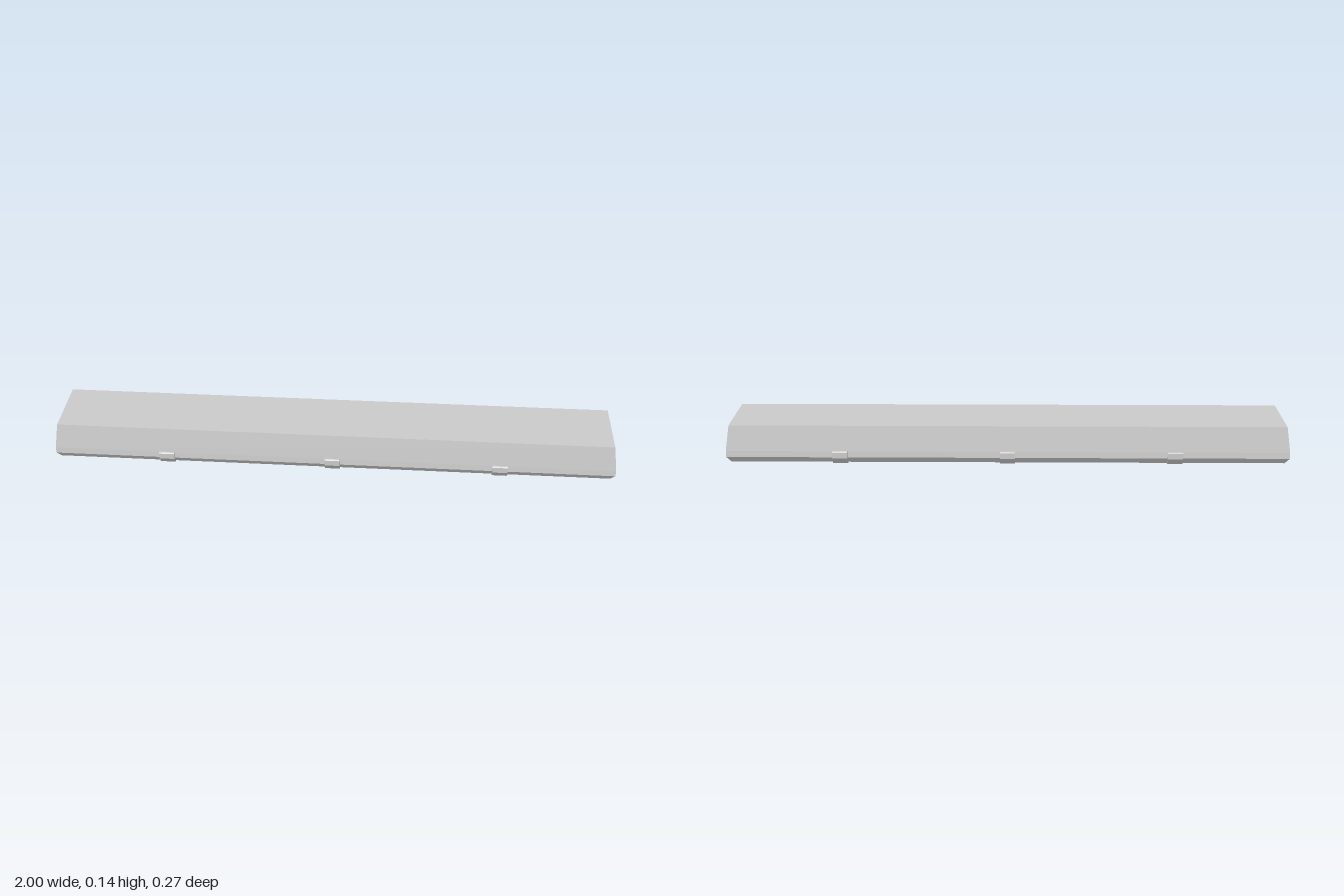
import * as THREE from 'three';

const material = new THREE.MeshStandardMaterial({ color: 0xcccccc, flatShading: true });

// Lofts rectangular sections [halfX, y, halfZ] from bottom to top, with optional caps
function loft(sections, capBottom, capTop) {
  const corners = sections.map(([x, y, z]) => [[-x, y, z], [x, y, z], [x, y, -z], [-x, y, -z]]);
  const positions = [];
  const quad = (a, b, c, d) => positions.push(...a, ...b, ...c, ...a, ...c, ...d);
  for (let i = 0; i < corners.length - 1; i++) {
    const lower = corners[i], upper = corners[i + 1];
    for (let k = 0; k < 4; k++) {
      const n = (k + 1) % 4;
      quad(lower[k], lower[n], upper[n], upper[k]);
    }
  }
  if (capTop) quad(...corners[corners.length - 1]);
  if (capBottom) quad(...[...corners[0]].reverse());
  const geometry = new THREE.BufferGeometry();
  geometry.setAttribute('position', new THREE.Float32BufferAttribute(positions, 3));
  geometry.computeVertexNormals();
  return geometry;
}

function addMesh(parent, name, geometry) {
  const mesh = new THREE.Mesh(geometry, material);
  mesh.name = name;
  parent.add(mesh);
  return mesh;
}

// Bent clip: a (z, y) outline extruded along x
function clipGeometry(width) {
  const outline = [
    [0.113, 0.003], [0.119, 0], [0.136, 0.025], [0.136, 0.046], [0.132, 0.049], [0.127, 0.049], [0.128, 0.026],
  ];
  const shape = new THREE.Shape(outline.map(([z, y]) => new THREE.Vector2(z, y)));
  const geometry = new THREE.ExtrudeGeometry(shape, { depth: width, bevelEnabled: false });
  geometry.translate(0, 0, -width / 2);
  geometry.rotateY(-Math.PI / 2);
  return geometry;
}

export function createModel() {
  const model = new THREE.Group();
  model.name = 'battenLight';

  // Tapered upper housing
  addMesh(model, 'housing', loft([[1, 0.048, 0.127], [0.986, 0.14, 0.113]], false, true));

  // Shallow tray with a chamfered lower rim
  addMesh(model, 'diffuser',
    loft([[0.986, 0.003, 0.114], [1, 0.026, 0.129], [1, 0.048, 0.127]], true, false));

  // Three clips along each long side
  const clip = clipGeometry(0.054);
  for (const side of [1, -1]) {
    for (const x of [-0.595, 0, 0.595]) {
      const mesh = addMesh(model, side > 0 ? 'frontClip' : 'backClip', clip);
      mesh.position.x = x;
      mesh.rotation.y = side > 0 ? 0 : Math.PI;
    }
  }
  return model;
}
